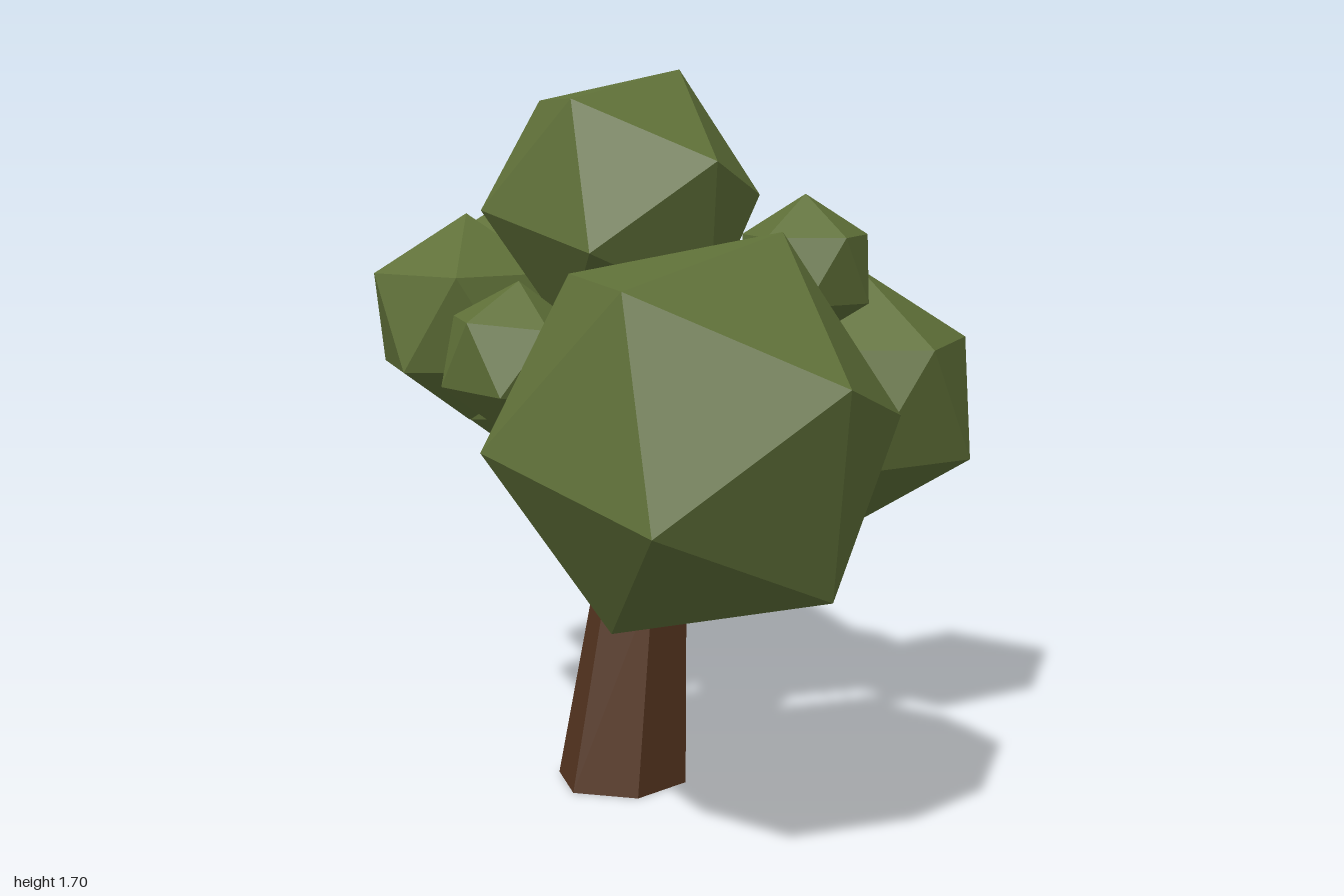
import * as THREE from 'three';

const leafMat = new THREE.MeshStandardMaterial({ color: 0x5f7038, flatShading: true });
const barkMat = new THREE.MeshStandardMaterial({ color: 0x54341f, flatShading: true });
const V = (a) => new THREE.Vector3(...a);

// Icosahedral leaf clump: one corner points along pole, the ring nearest to it has a corner along ring
function clump(name, centre, radius, pole, ring) {
  const geo = new THREE.IcosahedronGeometry(radius, 0);
  geo.rotateZ(Math.atan(2 / (1 + Math.sqrt(5))));
  const y = V(pole).normalize();
  const x = V(ring).negate();
  x.addScaledVector(y, -x.dot(y)).normalize();
  const z = new THREE.Vector3().crossVectors(x, y);
  geo.applyMatrix4(new THREE.Matrix4().makeBasis(x, y, z));
  const mesh = new THREE.Mesh(geo, leafMat);
  mesh.name = name;
  mesh.position.set(...centre);
  return mesh;
}

// Six-sided tapered branch between two points
function branch(name, from, to, r0, r1) {
  const a = V(from), b = V(to), dir = b.clone().sub(a);
  const mesh = new THREE.Mesh(new THREE.CylinderGeometry(r1, r0, dir.length(), 6), barkMat);
  mesh.name = name;
  mesh.position.copy(a).add(b).multiplyScalar(0.5);
  mesh.quaternion.setFromUnitVectors(new THREE.Vector3(0, 1, 0), dir.normalize());
  return mesh;
}

export function createModel() {
  const tree = new THREE.Group();
  tree.name = 'tree';

  // Lower trunk: leaning, with level ends
  const trunkGeo = new THREE.CylinderGeometry(0.113, 0.16, 0.5, 6);
  trunkGeo.translate(0, 0.25, 0);
  const p = trunkGeo.attributes.position;
  for (let i = 0; i < p.count; i++) p.setX(i, p.getX(i) - 0.195 + 0.1 * p.getY(i));
  trunkGeo.computeVertexNormals();
  const trunk = new THREE.Mesh(trunkGeo, barkMat);
  trunk.name = 'trunk';
  tree.add(trunk);

  // Upper trunk and limbs
  const limbs = [
    ['upperTrunk', [-0.147, 0.47, 0], [-0.14, 1.16, -0.01], 0.113, 0.05],
    ['leftLimb', [-0.15, 0.53, 0], [0.28, 0.77, 0.05], 0.088, 0.036],
    ['frontLimb', [-0.17, 0.49, 0.02], [-0.25, 0.73, 0.48], 0.095, 0.045],
    ['backLimb', [-0.14, 0.6, 0], [-0.17, 0.92, -0.42], 0.085, 0.045],
    ['frontLeftTwig', [-0.14, 0.92, 0.01], [0.11, 1.18, 0.19], 0.045, 0.02],
    ['rightTwig', [-0.14, 0.85, 0], [-0.42, 1.06, -0.17], 0.05, 0.025],
    ['frontRightTwig', [-0.15, 0.8, 0], [-0.4, 1.0, 0.16], 0.045, 0.022],
  ];
  for (const l of limbs) tree.add(branch(...l));

  // Leaf clumps
  const side = [1, 0.044, 0], up = [0, 1, 0];
  const clumps = [
    ['frontLeaves', [-0.18, 0.94, 0.615], 0.45, side, up],
    ['backLeaves', [-0.18, 1.037, -0.615], 0.443, up, [-1, 0, 0.04]],
    ['topLeaves', [-0.18, 1.39, -0.015], 0.335, side, up],
    ['leftLeaves', [0.45, 0.895, -0.115], 0.32, up, [1, 0, 0]],
    ['rightLeaves', [-0.515, 1.11, -0.225], 0.25, up, [-1, 0, 0.04]],
    ['smallLeftLeaves', [0.18, 1.247, 0.245], 0.168, up, [1, 0, 0]],
    ['smallRightLeaves', [-0.485, 1.06, 0.195], 0.17, [0.1, 1, 0], [1, 0, 0]],
  ];
  for (const c of clumps) tree.add(clump(...c));
  return tree;
}
